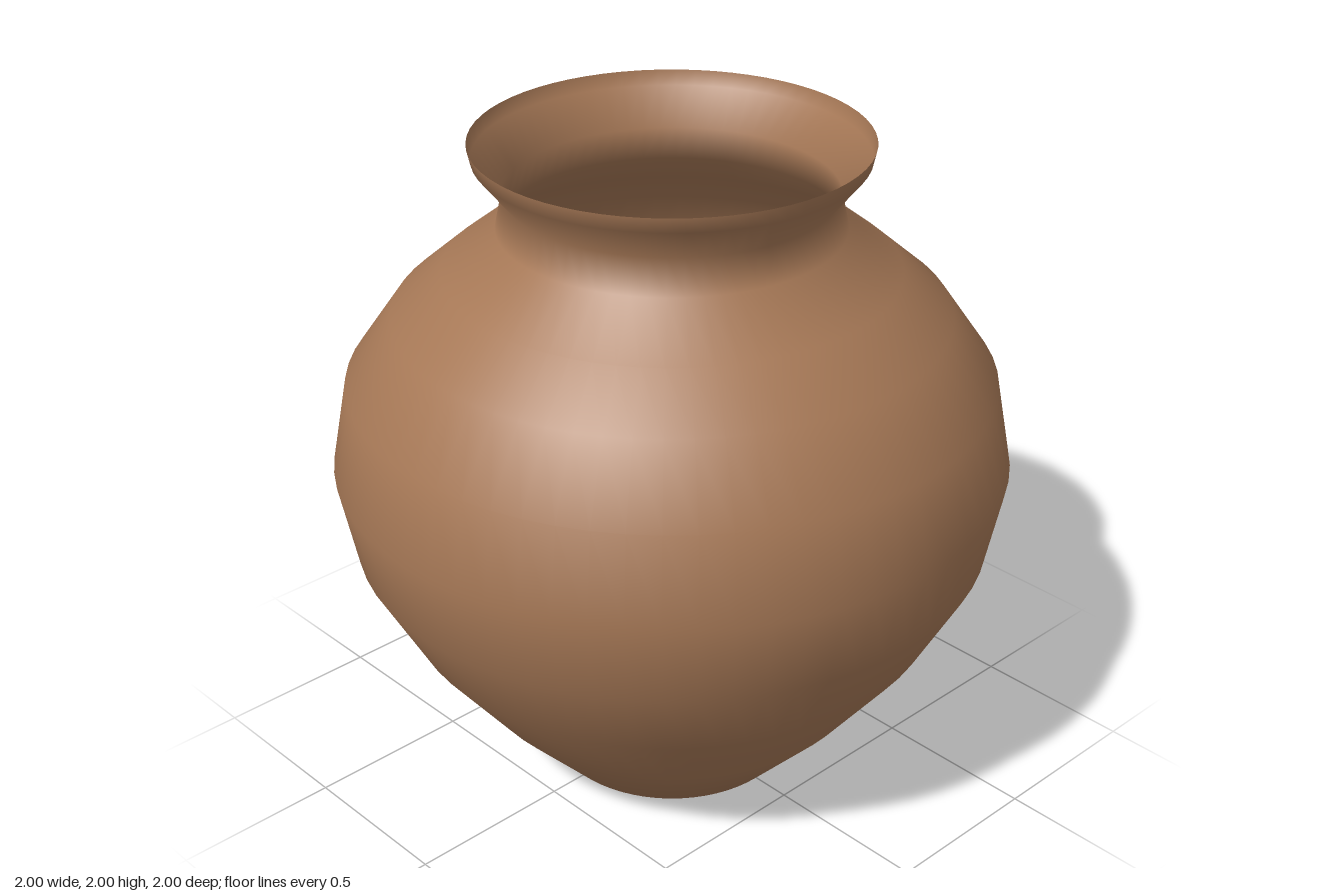
import * as THREE from 'three';

export function createModel() {
  const group = new THREE.Group();
  group.name = 'jar';

  const clay = new THREE.MeshStandardMaterial({ color: 0xa67856, side: THREE.DoubleSide });
  clay.name = 'brown clay';

  // Thin-walled profile: base, belly, shoulder, neck, flared rim
  const profile = [
    [0, 0], [0.38, 0],
    [0.61, 0.25], [0.81, 0.51], [0.95, 0.77], [1, 1.03], [0.95, 1.29],
    [0.81, 1.49], [0.66, 1.62], [0.5, 1.745],
    [0.477, 1.85], [0.56, 1.955], [0.57, 2],
  ].map(([r, y]) => new THREE.Vector2(r, y));

  const body = new THREE.Mesh(new THREE.LatheGeometry(profile, 64), clay);
  body.name = 'jarBody';
  group.add(body);
  return group;
}
